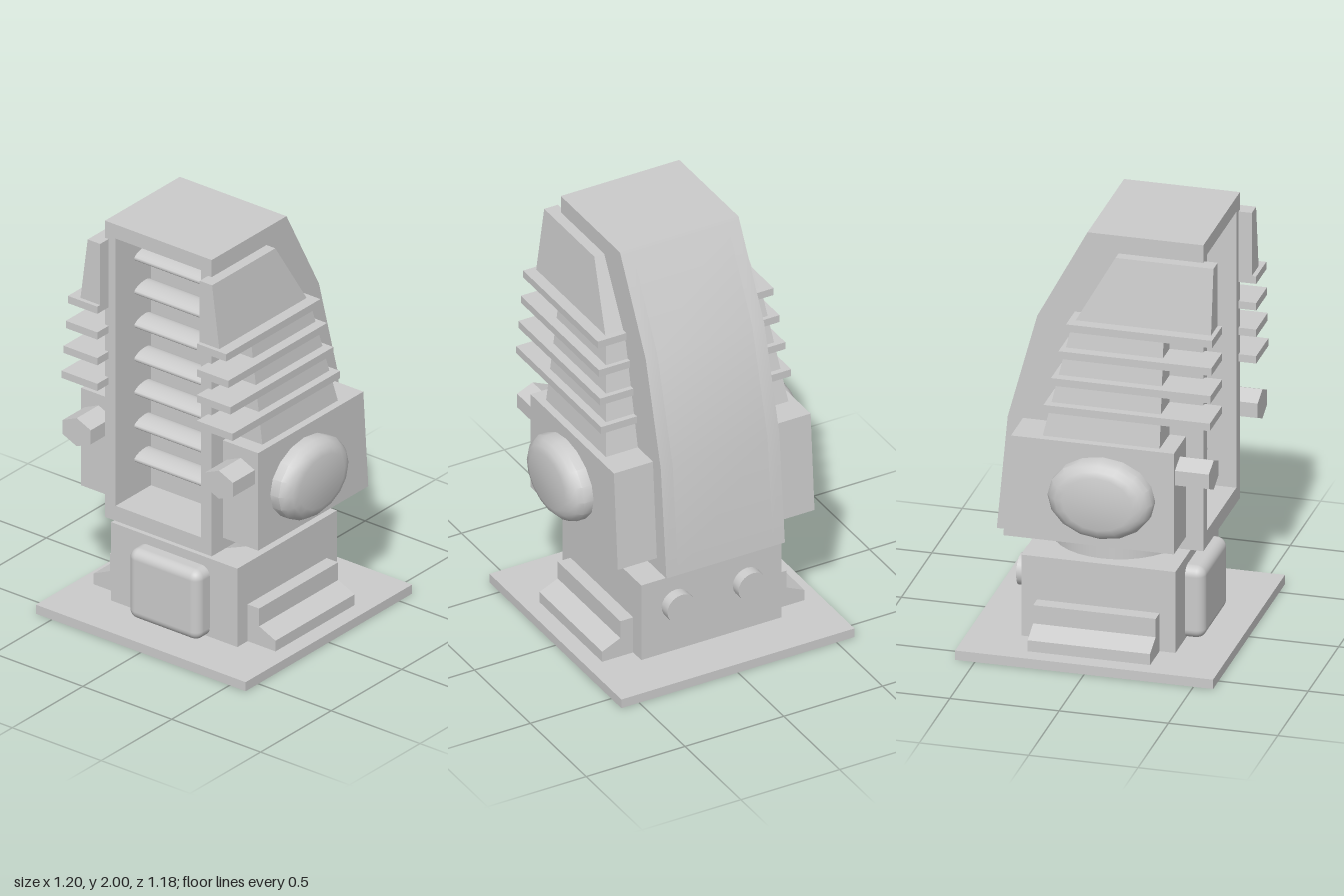
import * as THREE from 'three';
import { toCreasedNormals } from 'three/addons/utils/BufferGeometryUtils.js';
import { RoundedBoxGeometry } from 'three/addons/geometries/RoundedBoxGeometry.js';

const grey = new THREE.MeshStandardMaterial({ color: 0xcccccc });
const open = new THREE.MeshStandardMaterial({ color: 0xcccccc, side: THREE.DoubleSide });

function add(parent, name, geometry, x = 0, y = 0, z = 0, material = grey) {
  const mesh = new THREE.Mesh(geometry, material);
  mesh.name = name;
  mesh.position.set(x, y, z);
  parent.add(mesh);
  return mesh;
}

// Block between two level rectangles, each given as [innerX, outerX, backZ, frontZ]
function taperedBlock(side, y0, bottom, y1, top) {
  const geo = new THREE.BoxGeometry(1, 1, 1).toNonIndexed();
  const p = geo.attributes.position;
  for (let i = 0; i < p.count; i++) {
    const up = p.getY(i) > 0;
    const r = up ? top : bottom;
    const outer = p.getX(i) * side > 0;
    p.setXYZ(i, side * (outer ? r[1] : r[0]), up ? y1 : y0, p.getZ(i) > 0 ? r[3] : r[2]);
  }
  geo.computeVertexNormals();
  return geo;
}

const shapeOf = (pts) => new THREE.Shape(pts.map(([a, b]) => new THREE.Vector2(a, b)));

// Side profile of [z, y] points, extruded across x and centred on x = 0
function crossSlab(points, width) {
  const geo = new THREE.ExtrudeGeometry(shapeOf(points), { depth: width, bevelEnabled: false });
  geo.rotateY(-Math.PI / 2).translate(width / 2, 0, 0);
  return toCreasedNormals(geo, 0.45);
}

export function createModel() {
  const model = new THREE.Group();
  model.name = 'ventTower';

  // Base plate, open underneath
  const plate = new THREE.BoxGeometry(1.18, 0.045, 1.18);
  const faces = Array.from(plate.index.array);
  faces.splice(18, 6);
  plate.setIndex(faces);
  plate.clearGroups();
  add(model, 'basePlate', plate, 0, 0.0225, 0, open);

  // Pedestal with rounded front cover, rear knobs and neck
  add(model, 'pedestal', new THREE.BoxGeometry(0.71, 0.39, 0.705), 0, 0.24, 0);
  add(model, 'frontCover', new RoundedBoxGeometry(0.4, 0.345, 0.2, 4, 0.045), 0, 0.2175, 0.34);
  for (const x of [-0.18, 0.18]) {
    add(model, 'rearKnob', new THREE.CylinderGeometry(0.072, 0.072, 0.07, 20).rotateX(Math.PI / 2), x, 0.288, -0.37);
  }
  add(model, 'neck', new THREE.CylinderGeometry(0.3, 0.3, 0.085, 32), 0, 0.475, 0);
  add(model, 'neckCollar', new THREE.CylinderGeometry(0.26, 0.26, 0.02, 32), 0, 0.52, 0);

  // Main housing: two cheeks and a core with a deep front recess
  const back = [[-0.065, 2], [-0.295, 1.57], [-0.43, 1.07], [-0.48, 0.525]];
  const cheek = [[0.465, 0.525], [0.465, 2], ...back];
  const core = [[0.465, 0.525], [0.465, 0.6], [0.215, 0.6], [0.215, 1.93], [0.465, 1.93], [0.465, 2], ...back];
  add(model, 'housingCore', crossSlab(core, 0.48));
  for (const x of [-0.27, 0.27]) add(model, 'housingCheek', crossSlab(cheek, 0.06), x);

  // Louvre slats inside the recess
  const slat = new THREE.CylinderGeometry(1, 1, 0.48, 16).rotateZ(Math.PI / 2).scale(1, 0.022, 0.06).rotateX(0.15);
  for (let i = 0; i < 7; i++) add(model, 'louvreSlat', slat, 0, 0.781 + i * 0.167, 0.275);

  for (const s of [-1, 1]) {
    const pod = new THREE.Group();
    pod.name = s > 0 ? 'leftPod' : 'rightPod';
    model.add(pod);

    // Lower housing, tapered stack and upper cowl
    add(pod, 'podHousing', taperedBlock(s, 0.585, [0.28, 0.498, -0.395, 0.385], 1.07, [0.28, 0.498, -0.36, 0.385]));
    add(pod, 'podStack', taperedBlock(s, 1.07, [0.28, 0.462, -0.225, 0.31], 1.59, [0.28, 0.395, -0.11, 0.31]));
    add(pod, 'podCowl', taperedBlock(s, 1.6, [0.28, 0.392, -0.1, 0.525], 1.915, [0.28, 0.35, 0.077, 0.525]));

    // Cooling fins, growing towards the bottom
    for (let i = 0; i < 4; i++) {
      const y = 1.575 - i * 0.128;
      const r = [0.28, 0.445 + i * 0.012, -0.123 - i * 0.031, 0.545];
      add(pod, 'coolingFin', taperedBlock(s, y, r, y + 0.036, r));
    }

    // Oval side cap
    const rim = [[1, -0.02], [1, 0.045], [0.93, 0.07], [0.82, 0.09], [0.67, 0.1], [0, 0.1]];
    const cap = new THREE.LatheGeometry(rim.map(([r, h]) => new THREE.Vector2(r, h)), 16);
    cap.scale(0.187, 1, 0.24).rotateZ(-s * Math.PI / 2);
    add(pod, 'sideCap', toCreasedNormals(cap, 0.6), s * 0.5, 0.828, 0.06);

    // Hexagonal bolt facing forward
    const bolt = new THREE.CylinderGeometry(1, 1, 0.18, 6).toNonIndexed();
    bolt.rotateX(Math.PI / 2).scale(0.091, 0.07, 1);
    bolt.computeVertexNormals();
    add(pod, 'hexBolt', bolt, s * 0.4, 0.945, 0.45);

    // Stepped foot beside the pedestal
    const foot = [[0.33, 0.045], [0.512, 0.045], [0.512, 0.098], [0.42, 0.14], [0.42, 0.228], [0.33, 0.228]];
    const step = new THREE.ExtrudeGeometry(shapeOf(foot.map(([x, y]) => [s * x, y])), { depth: 0.56, bevelEnabled: false });
    add(pod, 'steppedFoot', step, 0, 0, -0.28);
  }
  return model;
}
